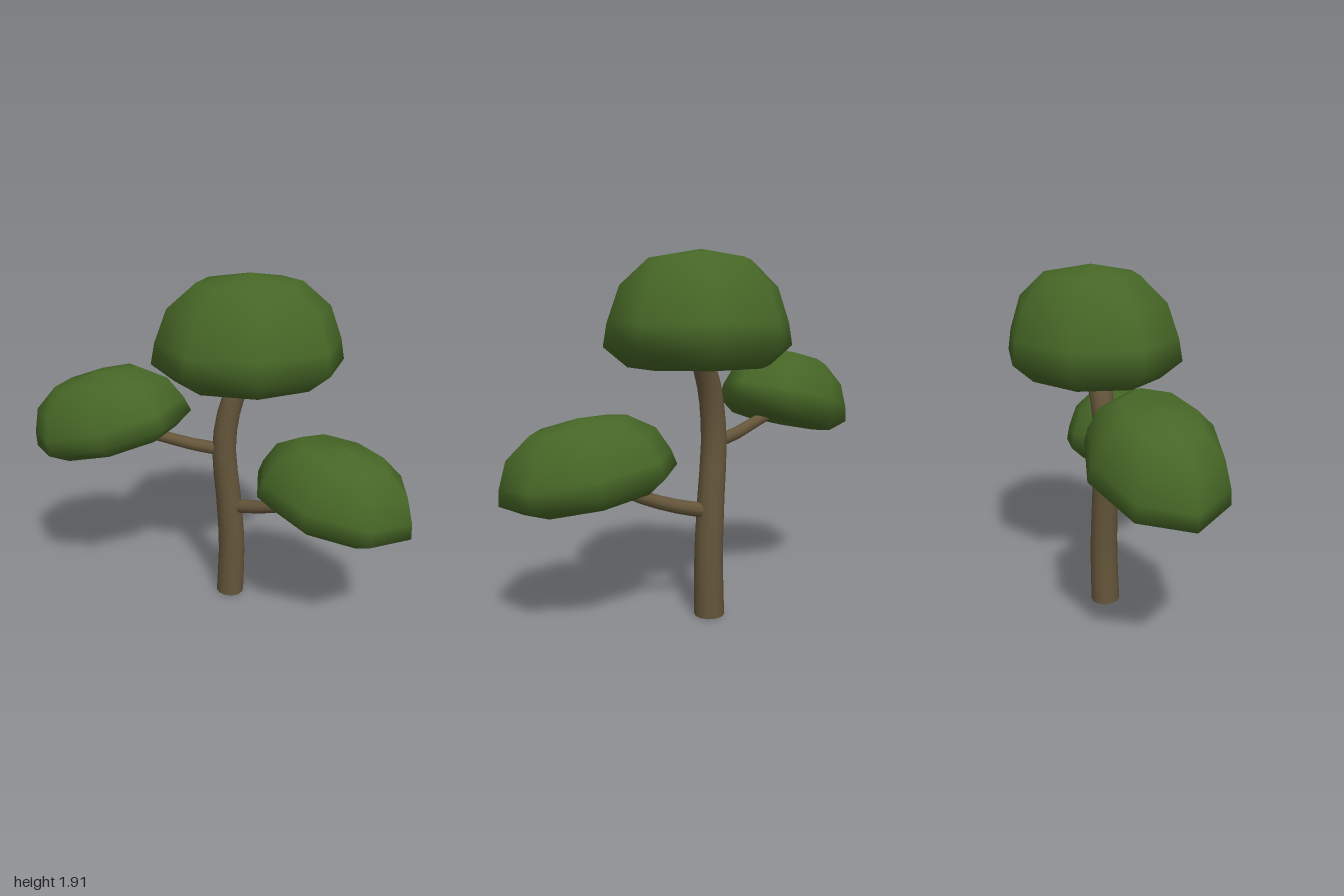
import * as THREE from 'three';

const bark = new THREE.MeshStandardMaterial({ color: 0x64553a });
bark.name = 'bark brown';
const leaf = new THREE.MeshStandardMaterial({ color: 0x466626 });
leaf.name = 'leaf green';

// Tapered, capped cylinder bent along a smooth curve
function limb(name, points, rBottom, rTop, sides, rings) {
  const curve = new THREE.CatmullRomCurve3(points.map(p => new THREE.Vector3(...p)));
  const geo = new THREE.CylinderGeometry(rTop, rBottom, 1, sides, rings);
  const pos = geo.attributes.position, nor = geo.attributes.normal;
  const up = new THREE.Vector3(0, 1, 0), q = new THREE.Quaternion(), v = new THREE.Vector3();
  for (let i = 0; i < pos.count; i++) {
    const t = THREE.MathUtils.clamp(pos.getY(i) + 0.5, 0, 1);
    q.setFromUnitVectors(up, curve.getTangent(t));
    v.set(pos.getX(i), 0, pos.getZ(i)).applyQuaternion(q).add(curve.getPoint(t));
    pos.setXYZ(i, v.x, Math.max(v.y, 0), v.z);
    v.fromBufferAttribute(nor, i).applyQuaternion(q);
    nor.setXYZ(i, v.x, v.y, v.z);
  }
  const mesh = new THREE.Mesh(geo, bark);
  mesh.name = name;
  return mesh;
}

// Eight-sided dome with a shallow underside: radius and height as fractions
const domeProfile = [
  [0, -0.25], [0.76, -0.21], [1, 0], [0.96, 0.24], [0.83, 0.62], [0.535, 0.9], [0, 1],
].map(([r, y]) => new THREE.Vector2(r, y));

// Foliage dome: size is half length, height, half width; it tips down along its yaw
function foliage(name, centre, size, yaw = 0, tilt = 0) {
  const mesh = new THREE.Mesh(new THREE.LatheGeometry(domeProfile, 8), leaf);
  mesh.name = name;
  mesh.position.set(...centre);
  mesh.scale.set(...size);
  mesh.rotation.set(0, yaw, -tilt, 'YZX');
  return mesh;
}

export function createModel() {
  const tree = new THREE.Group();
  tree.name = 'tree';
  tree.add(
    // Wood
    limb('trunk', [[0.093, 0, -0.17], [0.1, 0.32, -0.17], [0.08, 0.62, -0.17], [0.052, 0.95, -0.17],
      [0.09, 1.2, -0.17], [0.17, 1.38, -0.17]], 0.081, 0.058, 12, 12),
    limb('leftBranch', [[0.1, 0.57, -0.17], [0.24, 0.61, -0.06], [0.38, 0.67, 0.05], [0.48, 0.73, 0.13]],
      0.04, 0.033, 10, 6),
    limb('rightBranch', [[0.04, 0.93, -0.17], [-0.12, 0.955, -0.2], [-0.29, 1.0, -0.225], [-0.42, 1.03, -0.245]],
      0.037, 0.03, 10, 6),
    // Foliage
    foliage('topFoliage', [0.182, 1.435, -0.173], [0.525, 0.472, 0.455]),
    foliage('leftFoliage', [0.58, 0.755, 0.22], [0.455, 0.34, 0.335], -0.675, 0.17),
    foliage('rightFoliage', [-0.565, 1.045, -0.265], [0.455, 0.34, 0.328], 2.99, 0.255),
  );
  return tree;
}
